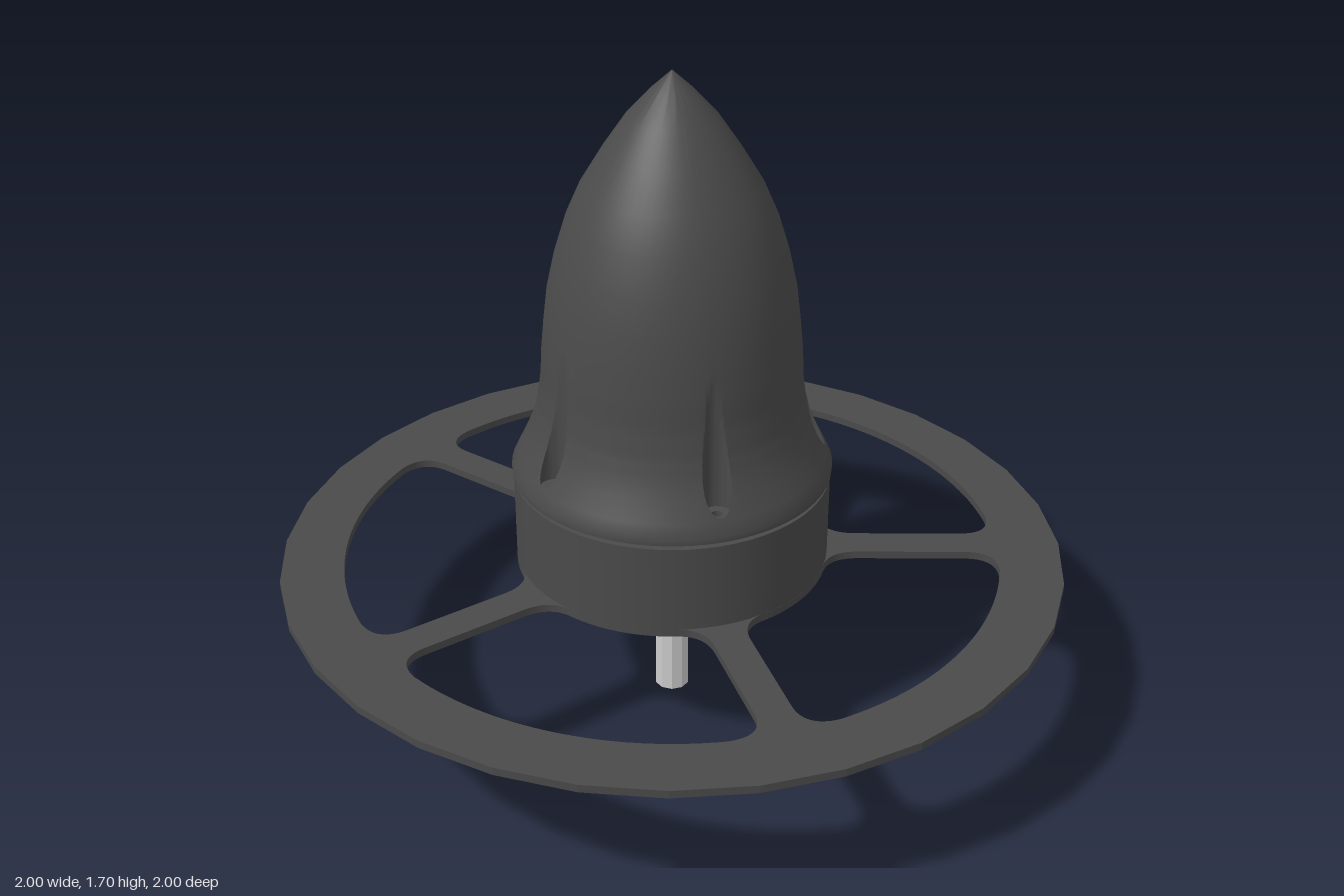
import * as THREE from 'three';
import { toCreasedNormals } from 'three/addons/utils/BufferGeometryUtils.js';

const N = 5, STEP = (Math.PI * 2) / N;
const BOLT_R = 0.35, HOLE = 0.014, FLUTE = 0.035, FLOOR = 0.72;
const dark = new THREE.MeshStandardMaterial({ color: 0x4a4a4a });
const darkDouble = new THREE.MeshStandardMaterial({ color: 0x4a4a4a, side: THREE.DoubleSide });
const metal = new THREE.MeshStandardMaterial({ color: 0xcccccc, flatShading: true, side: THREE.DoubleSide });

function add(parent, name, geometry, material, x = 0, y = 0, z = 0) {
  const mesh = new THREE.Mesh(geometry, material);
  mesh.name = name;
  mesh.position.set(x, y, z);
  parent.add(mesh);
  return mesh;
}

const circle = (r, x = 0, y = 0) => new THREE.Path().absarc(x, y, r, 0, Math.PI * 2, false);

// Rounded opening between two neighbouring spokes
function opening(start) {
  const w = 0.045, rOut = 0.84, rIn = 0.4, tOut = 0.16, tIn = 0.27;
  const end = start + STEP;
  const first = (s) => [s * Math.cos(start) - w * Math.sin(start), s * Math.sin(start) + w * Math.cos(start)];
  const second = (s) => [s * Math.cos(end) + w * Math.sin(end), s * Math.sin(end) - w * Math.cos(end)];
  const polar = (r, a) => [r * Math.cos(a), r * Math.sin(a)];
  const p = new THREE.Path();
  p.moveTo(...polar(rOut, start + tOut));
  p.absarc(0, 0, rOut, start + tOut, end - tOut, false);
  p.quadraticCurveTo(...second(0.835), ...second(0.75));
  p.lineTo(...second(0.48));
  p.quadraticCurveTo(...second(0.405), ...polar(rIn, end - tIn));
  p.absarc(0, 0, rIn, end - tIn, start + tIn, true);
  p.quadraticCurveTo(...first(0.405), ...first(0.48));
  p.lineTo(...first(0.75));
  p.quadraticCurveTo(...first(0.835), ...polar(rOut, start + tOut));
  return p;
}

// Flat wheel: rim, spokes and hub ring in one plate
function wheelGeometry() {
  const shape = new THREE.Shape().absarc(0, 0, 1, 0, Math.PI * 2, false);
  shape.holes.push(circle(0.31));
  for (let i = 0; i < N; i++) {
    const a = i * STEP;
    shape.holes.push(opening(a), circle(HOLE, BOLT_R * Math.cos(a), BOLT_R * Math.sin(a)));
  }
  return new THREE.ExtrudeGeometry(shape, { depth: 0.02, bevelEnabled: false, curveSegments: 16 }).rotateX(Math.PI / 2);
}

// Nose outline as [radius, height]
const PROFILE = [
  [0.385, 0.662], [0.403, 0.672], [0.404, 0.688], [0.388, 0.72], [0.364, 0.77], [0.348, 0.81],
  [0.335, 0.86], [0.325, 0.93], [0.321, 1.0], [0.314, 1.07], [0.303, 1.16], [0.283, 1.25],
  [0.255, 1.34], [0.22, 1.42], [0.165, 1.51], [0.11, 1.59], [0.05, 1.655], [0.0005, 1.7],
];

function radiusAt(y) {
  let i = 1;
  while (i < PROFILE.length - 1 && PROFILE[i][1] < y) i++;
  const [r0, y0] = PROFILE[i - 1], [r1, y1] = PROFILE[i];
  return r0 + ((r1 - r0) * (y - y0)) / (y1 - y0);
}

// Height on the flared skirt where the body has the given radius
function heightAt(r) {
  let lo = FLOOR, hi = 0.9;
  for (let k = 0; k < 30; k++) {
    const mid = (lo + hi) / 2;
    if (radiusAt(mid) > r) lo = mid; else hi = mid;
  }
  return lo;
}

// Nose cone with upright round flutes cut above each screw
function noseGeometry() {
  const tangent = Math.asin(FLUTE / BOLT_R);
  const half = [];
  for (let k = 1; k <= 8; k++) half.push(tangent * Math.sin((k / 8) * Math.PI / 2));
  half.push(tangent + 0.001);
  for (let k = 1; k <= 5; k++) half.push(tangent + ((STEP / 2 - tangent) * k) / 5);
  const offsets = [...half.map((a) => -a).reverse(), 0, ...half.slice(0, -1)];

  const upper = [0.83];
  for (let i = 6; i < PROFILE.length; i++) {
    const y0 = upper[upper.length - 1], y1 = PROFILE[i][1], n = y1 < 1.1 ? 4 : 1;
    for (let k = 1; k <= n; k++) upper.push(y0 + ((y1 - y0) * k) / n);
  }

  // One column of [radius, height] for each angle off the flute centre
  function column(off) {
    const a = Math.abs(off), inside = a <= tangent + 1e-6;
    const root = Math.sqrt(Math.max(0, FLUTE ** 2 - (BOLT_R * Math.sin(a)) ** 2));
    const near = BOLT_R * Math.cos(a) - root, far = BOLT_R * Math.cos(a) + root;
    const lip = heightAt(inside ? far : BOLT_R * Math.cos(tangent));
    const col = PROFILE.slice(0, 4).map((p) => [...p]);
    for (const t of [0.5, 1]) {
      const y = FLOOR + (lip - FLOOR) * t;
      col.push([radiusAt(y), y]);
    }
    col.push(inside ? [far, FLOOR] : [radiusAt(lip), lip]);
    col.push(inside ? [near, FLOOR] : [radiusAt(lip), lip]);
    for (const y of upper) col.push([inside ? Math.min(near, radiusAt(y)) : radiusAt(y), y]);
    return col;
  }

  const position = [], index = [];
  const cols = offsets.map(column), rows = cols[0].length, total = N * cols.length;
  for (let s = 0; s < N; s++) {
    cols.forEach((col, j) => {
      const a = s * STEP + offsets[j];
      for (const [r, y] of col) position.push(r * Math.cos(a), y, r * Math.sin(a));
    });
  }
  for (let j = 0; j < total; j++) {
    for (let i = 0; i < rows - 1; i++) {
      if (i === 6) continue; // flute floors are separate rings
      const a = j * rows + i, b = ((j + 1) % total) * rows + i;
      index.push(a, a + 1, b, b, a + 1, b + 1);
    }
  }
  const g = new THREE.BufferGeometry();
  g.setAttribute('position', new THREE.Float32BufferAttribute(position, 3));
  g.setIndex(index);
  return toCreasedNormals(g, 0.6);
}

export function createModel() {
  const model = new THREE.Group();
  model.name = 'spinnerWheel';

  add(model, 'wheel', wheelGeometry(), dark, 0, 0.435, 0);
  add(model, 'noseCone', noseGeometry(), dark);

  // Drum under the nose, with its top lip
  add(model, 'drum', new THREE.CylinderGeometry(0.4, 0.4, 0.23, 64, 1, true), dark, 0, 0.545, 0);
  add(model, 'drumLip', new THREE.RingGeometry(0.37, 0.4, 64).rotateX(-Math.PI / 2), dark, 0, 0.66, 0);

  // Underside disc with a toothed opening round the shaft
  const disc = new THREE.Shape().absarc(0, 0, 0.32, 0, Math.PI * 2, false);
  const teeth = [];
  for (let i = 0; i < 40; i++) {
    const a = (i / 40) * Math.PI * 2, r = i % 4 < 2 ? 0.062 : 0.08;
    teeth.push(new THREE.Vector2(r * Math.cos(a), r * Math.sin(a)));
  }
  disc.holes.push(new THREE.Path(teeth));
  const discGeometry = new THREE.ExtrudeGeometry(disc, { depth: 0.04, bevelEnabled: false, curveSegments: 32 });
  add(model, 'bottomDisc', discGeometry.rotateX(Math.PI / 2), dark, 0, 0.465, 0);
  add(model, 'recessCap', new THREE.CircleGeometry(0.1, 24).rotateX(Math.PI / 2), dark, 0, 0.46, 0);

  // Screw holes running from each flute floor down through the plate
  for (let i = 0; i < N; i++) {
    const x = BOLT_R * Math.cos(i * STEP), z = BOLT_R * Math.sin(i * STEP);
    add(model, 'fluteFloor', new THREE.RingGeometry(HOLE, FLUTE, 24).rotateX(-Math.PI / 2), dark, x, FLOOR, z);
    add(model, 'screwHole', new THREE.CylinderGeometry(HOLE, HOLE, 0.303, 16, 1, true), darkDouble, x, 0.5675, z);
  }

  // Faceted shaft with a small centre bore
  const shaft = [[0, 0.05], [0.014, 0.05], [0.014, 0], [0.045, 0], [0.045, 0.47]];
  add(model, 'shaft', new THREE.LatheGeometry(shaft.map((p) => new THREE.Vector2(...p)), 10), metal);

  return model;
}
